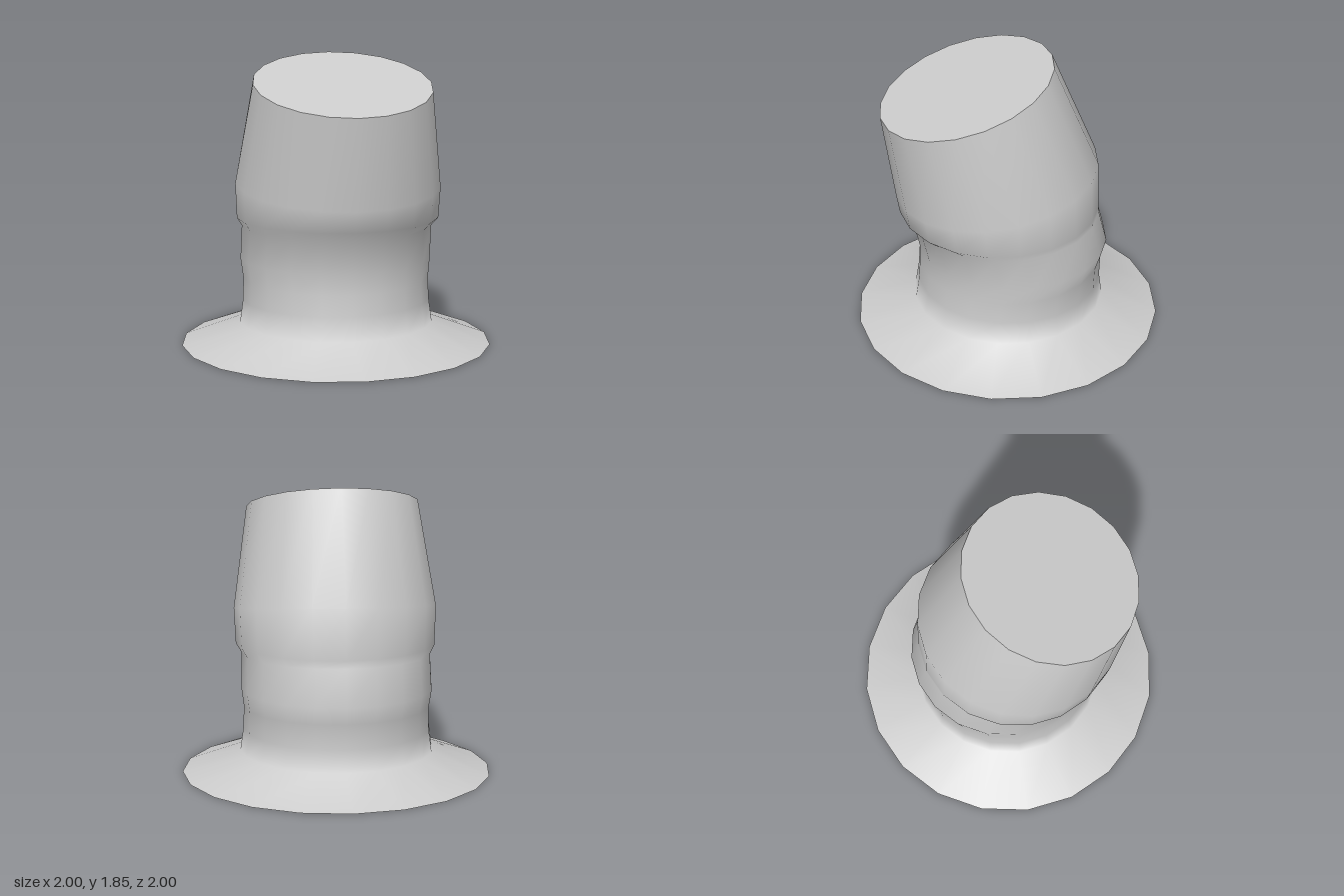
import * as THREE from 'three';

const SIDES = 20;

// Cross-sections from the flange rim up: [front z, front y, back z, back y, half width]
const RINGS = [
  [1.0, 0, -1.0, 0, 1.0],
  [0.62, 0.14, -0.63, 0.14, 0.625],
  [0.595, 0.29, -0.61, 0.28, 0.605],
  [0.585, 0.42, -0.615, 0.44, 0.6],
  [0.58, 0.55, -0.65, 0.55, 0.615],
  [0.625, 0.77, -0.59, 0.78, 0.61],
  [0.7, 0.83, -0.587, 0.83, 0.645],
  [0.72, 0.96, -0.575, 1.15, 0.655],
  [0.795, 1.53, -0.28, 1.85, 0.56],
];

// Points of one tilted elliptical section
function ringPoints([zf, yf, zb, yb, w]) {
  const points = [];
  for (let j = 0; j < SIDES; j++) {
    const a = (j / SIDES) * Math.PI * 2;
    const s = Math.sin(a);
    points.push(
      w * Math.cos(a),
      (yf + yb) / 2 + ((yf - yb) / 2) * s,
      (zf + zb) / 2 + ((zf - zb) / 2) * s
    );
  }
  return points;
}

function makeGeometry(positions, index) {
  const geometry = new THREE.BufferGeometry();
  geometry.setAttribute('position', new THREE.Float32BufferAttribute(positions, 3));
  geometry.setIndex(index);
  geometry.computeVertexNormals();
  return geometry;
}

export function createModel() {
  const group = new THREE.Group();
  group.name = 'bentPipeVent';
  const material = new THREE.MeshStandardMaterial({ color: 0xcccccc, side: THREE.DoubleSide });

  // Flared flange and bent pipe as one smooth open skin
  const index = [];
  for (let i = 0; i < RINGS.length - 1; i++) {
    for (let j = 0; j < SIDES; j++) {
      const a = i * SIDES + j;
      const b = i * SIDES + ((j + 1) % SIDES);
      index.push(a, a + SIDES, b, b, a + SIDES, b + SIDES);
    }
  }
  const wall = new THREE.Mesh(makeGeometry(RINGS.flatMap(ringPoints), index), material);
  wall.name = 'flangeAndPipe';
  group.add(wall);

  // Flat sloping lid
  const lidIndex = [];
  for (let j = 1; j < SIDES - 1; j++) lidIndex.push(0, j + 1, j);
  const lid = new THREE.Mesh(makeGeometry(ringPoints(RINGS[RINGS.length - 1]), lidIndex), material);
  lid.name = 'topCap';
  group.add(lid);

  return group;
}
